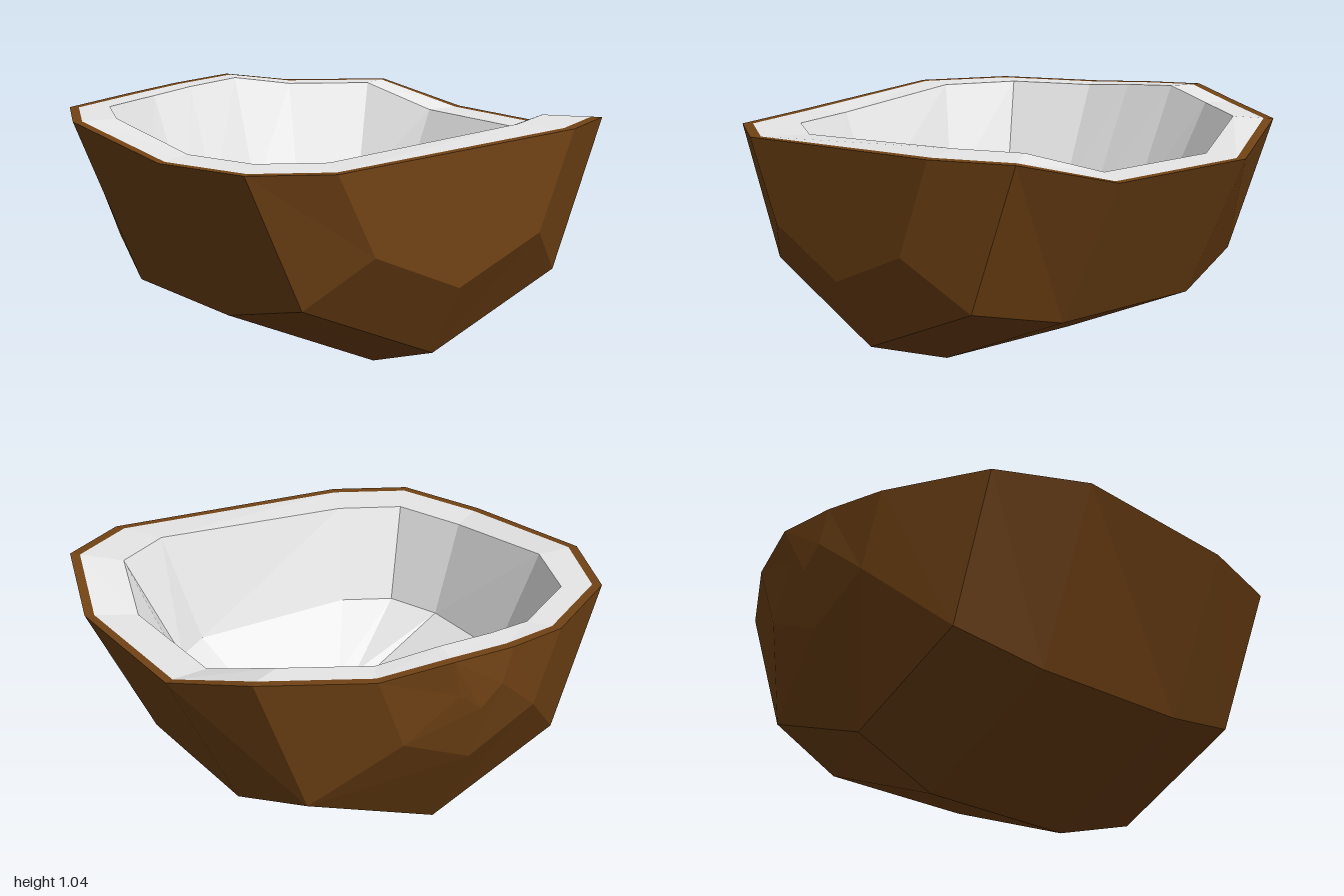
import * as THREE from 'three';

const shellBrown = new THREE.MeshStandardMaterial({ color: 0x724315 });
const fleshWhite = new THREE.MeshStandardMaterial({ color: 0xf6f6f6 });

// Flat-faced mesh from polygons, each a convex loop of [x, y, z] corners
function facetMesh(name, polygons, material) {
  const points = [];
  for (const p of polygons)
    for (let i = 1; i < p.length - 1; i++) points.push(...p[0], ...p[i], ...p[i + 1]);
  const geometry = new THREE.BufferGeometry();
  geometry.setAttribute('position', new THREE.Float32BufferAttribute(points, 3));
  geometry.computeVertexNormals();
  const mesh = new THREE.Mesh(geometry, material);
  mesh.name = name;
  return mesh;
}

// Quads joining two closed rings, from the outer one to the inner one
const band = (outer, inner) => outer.map((p, i) => {
  const n = (i + 1) % outer.length;
  return [p, outer[n], inner[n], inner[i]];
});

// Uneven cut edge, counterclockwise from above, starting at the front
const rim = [
  [-0.57, 0.935, 0.975], [0.57, 1, 0.975], [0.87, 1, 0.81], [1, 0.9, 0.41], [1, 0.9, -0.3],
  [0.83, 1, -0.67], [0.43, 1, -0.9], [0.14, 1.04, -0.978], [-0.15, 1.02, -0.96],
  [-0.43, 1, -0.9], [-0.83, 1, -0.67], [-1, 1, -0.3], [-1, 0.935, 0.41], [-0.87, 0.935, 0.81],
];
const rimInner = rim.map(([x, y, z]) => [x * 0.964, y, z * 0.96]);

// Hollow: lip, bend in the wall, and floor, as [x, z] in the same order as the rim
const lip = [
  [-0.46, 0.755], [0.46, 0.755], [0.71, 0.62], [0.81, 0.3], [0.81, -0.28], [0.68, -0.59], [0.36, -0.775],
  [0.1, -0.835], [-0.15, -0.815], [-0.36, -0.775], [-0.68, -0.59], [-0.81, -0.28], [-0.81, 0.3], [-0.71, 0.62],
].map(([x, z], i) => [x, rim[i][1], z]);
const bend = [
  [-0.39, 0.62], [0.35, 0.62], [0.51, 0.51], [0.6, 0.27], [0.6, -0.19], [0.52, -0.44], [0.28, -0.58],
  [0.08, -0.63], [-0.15, -0.61], [-0.32, -0.58], [-0.57, -0.45], [-0.67, -0.19], [-0.67, 0.27], [-0.59, 0.51],
].map(([x, z]) => [x, 0.54, z]);
const floor = [
  [-0.2, 0.35], [0.25, 0.35], [0.37, 0.28], [0.42, 0.13], [0.42, -0.17], [0.35, -0.32], [0.2, -0.41],
  [0.06, -0.44], [-0.15, -0.41], [-0.31, -0.32], [-0.38, -0.19], [-0.38, 0.13], [-0.33, 0.28], [-0.27, 0.32],
].map(([x, z]) => [x, 0.33, z]);

// Husk sections from front to back: z, chine half-width, chine height, keel height
const sections = [
  [0.975, 0.4, 0.6, 0.43], [0.81, 0.62, 0.39, 0.13], [0.41, 0.7, 0.3, 0], [-0.3, 0.7, 0.3, 0],
  [-0.67, 0.6, 0.41, 0.17], [-0.9, 0.31, 0.7, 0.56], [-0.965, 0.1, 0.88, 0.8],
].map(([z, w, chine, keel], i) => [
  rim[i + 1], [w, chine, z], [0, keel, z], [-w, chine, z], rim[(14 - i) % 14],
]);

export function createModel() {
  const model = new THREE.Group();
  model.name = 'halfNut';

  // Outer husk with flat front and back ends
  const husk = [[...sections[0]].reverse(), sections[6]];
  for (let s = 0; s < 6; s++) {
    const a = sections[s], b = sections[s + 1];
    for (let j = 0; j < 4; j++) husk.push([a[j], a[j + 1], b[j + 1], b[j]]);
  }
  model.add(facetMesh('husk', husk, shellBrown));
  model.add(facetMesh('huskRim', band(rim, rimInner), shellBrown));

  // White flesh
  model.add(facetMesh('fleshRim', band(rimInner, lip), fleshWhite));
  model.add(facetMesh('fleshWall', [...band(lip, bend), ...band(bend, floor)], fleshWhite));
  model.add(facetMesh('fleshFloor', [floor], fleshWhite));
  return model;
}
